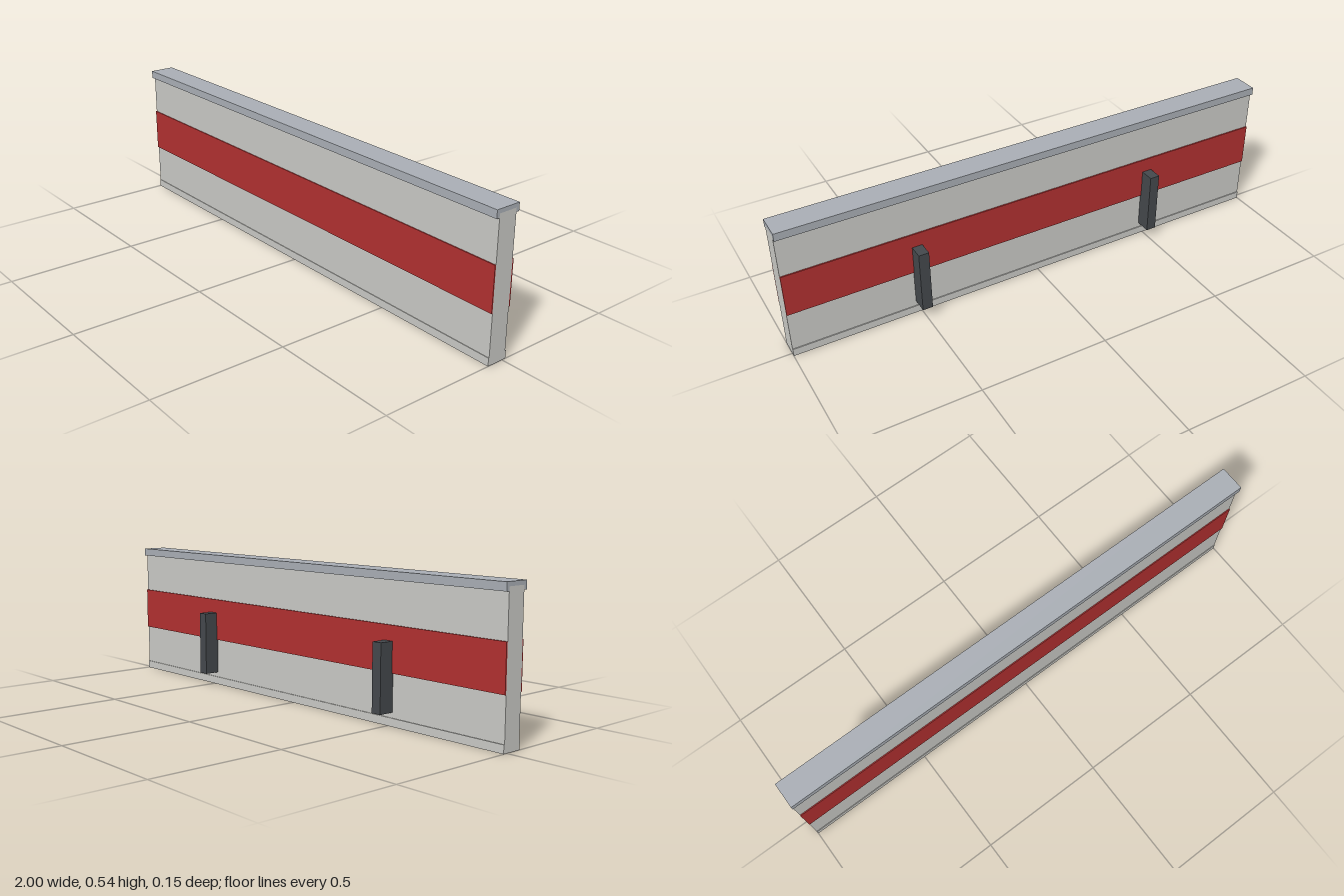
import * as THREE from 'three';

const LENGTH = 2;

const paint = (name, color) => {
  const m = new THREE.MeshStandardMaterial({ color });
  m.name = name;
  return m;
};

// Extrudes a (z, y) cross-section along the full length of the barrier.
function rail(name, section, material) {
  const shape = new THREE.Shape(section.map(([z, y]) => new THREE.Vector2(z, y)));
  const geo = new THREE.ExtrudeGeometry(shape, { depth: LENGTH, bevelEnabled: false });
  geo.rotateY(-Math.PI / 2).translate(LENGTH / 2, 0, 0);
  const mesh = new THREE.Mesh(geo, material);
  mesh.name = name;
  return mesh;
}

// Box given by its centre x and width, and its y and z ranges.
function block(name, x, width, [y0, y1], [z0, z1], material) {
  const mesh = new THREE.Mesh(new THREE.BoxGeometry(width, y1 - y0, z1 - z0), material);
  mesh.position.set(x, (y0 + y1) / 2, (z0 + z1) / 2);
  mesh.name = name;
  return mesh;
}

export function createModel() {
  const panelGrey = paint('panelGrey', 0xc8c8c4);
  const stripeRed = paint('stripeRed', 0xb03030);
  const capGrey = paint('capGrey', 0xa8adb4);
  const postGrey = paint('postGrey', 0x44484c);

  const front = 0.0625, back = -0.0125;
  const group = new THREE.Group();
  group.name = 'barrierBoard';

  // Upright panel with a slightly wider foot
  group.add(rail('panel', [
    [-0.016, 0], [0.065, 0], [0.065, 0.03], [front, 0.03],
    [front, 0.525], [back, 0.525], [back, 0.03], [-0.016, 0.03],
  ], panelGrey));

  // Cap that fits over the top edge of the panel
  group.add(rail('topCap', [
    [-0.025, 0.51], [back, 0.51], [back, 0.525], [front, 0.525],
    [front, 0.51], [0.075, 0.51], [0.075, 0.54], [-0.025, 0.54],
  ], capGrey));

  // Painted stripe on both faces
  const stripeY = [0.1875, 0.355];
  group.add(block('frontStripe', 0, LENGTH, stripeY, [front, 0.0665], stripeRed));
  group.add(block('backStripe', 0, LENGTH, stripeY, [-0.0175, back], stripeRed));

  // Support posts behind the panel
  for (const side of [-1, 1]) {
    const name = side > 0 ? 'leftPost' : 'rightPost';
    group.add(block(name, side * 0.5, 0.04, [0.05, 0.3], [-0.0735, back], postGrey));
  }
  return group;
}
